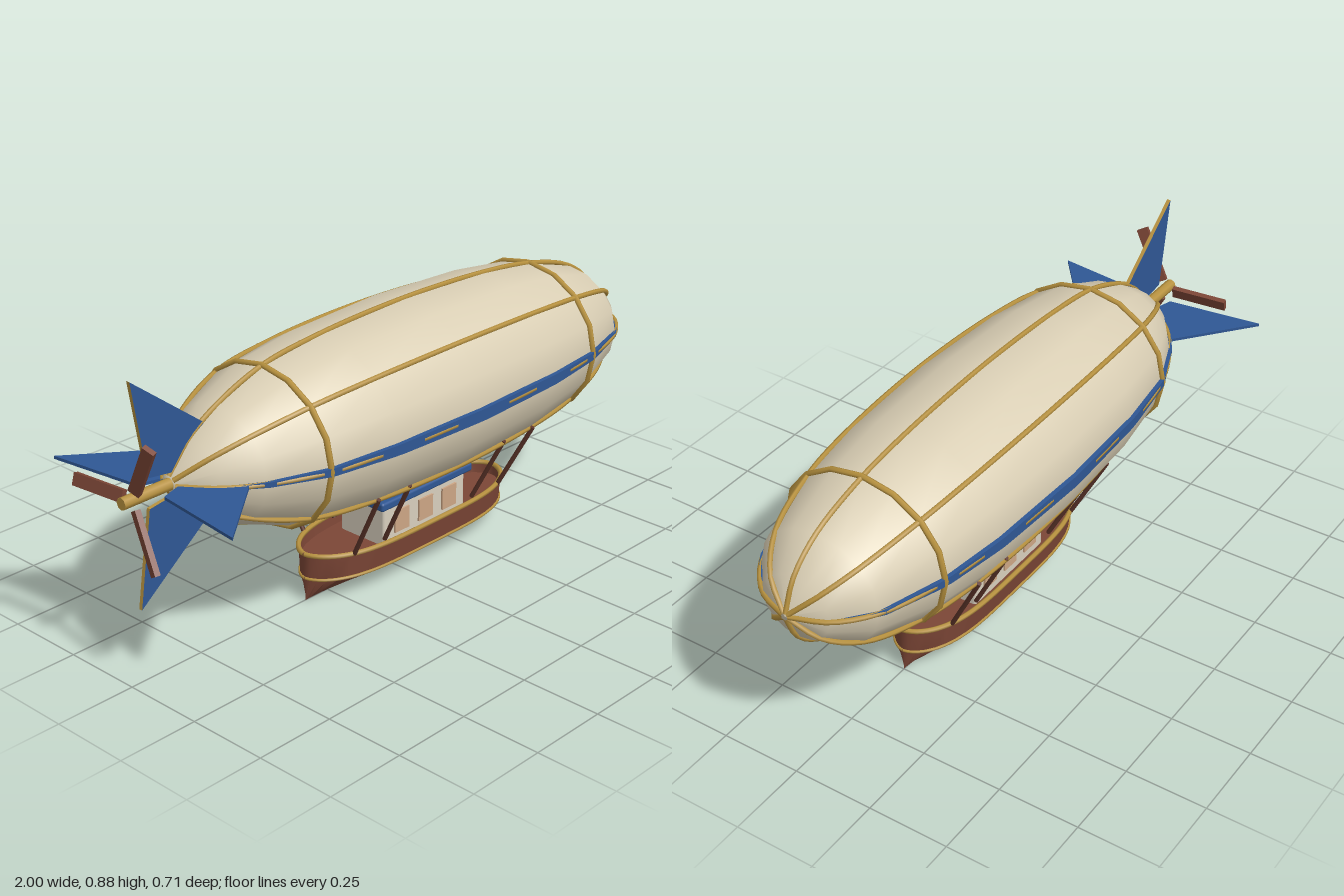
import * as THREE from 'three';
import { toCreasedNormals } from 'three/addons/utils/BufferGeometryUtils.js';
import { RoundedBoxGeometry } from 'three/addons/geometries/RoundedBoxGeometry.js';

const mat = (name, color, side = THREE.FrontSide) => {
  const m = new THREE.MeshStandardMaterial({ color, side });
  m.name = name;
  return m;
};

export function createModel() {
  const model = new THREE.Group();
  model.name = 'airship';
  const canvas = mat('canvas', 0xd9ceb4);
  const gold = mat('gold', 0xb8923f);
  const blue = mat('blue', 0x2f5794);
  const wood = mat('wood', 0x7c4636, THREE.DoubleSide);
  const darkWood = mat('dark wood', 0x5c3429);
  const cream = mat('cabin cream', 0xd8cfbe);
  const tan = mat('window tan', 0xcda685);

  const add = (name, geometry, material, parent = model) => {
    const mesh = new THREE.Mesh(geometry, material);
    mesh.name = name;
    parent.add(mesh);
    return mesh;
  };
  const group = (name) => {
    const g = new THREE.Group();
    g.name = name;
    model.add(g);
    return g;
  };
  const V = (x, y, z) => new THREE.Vector3(x, y, z);
  const tube = (name, pts, r, material, parent, seg = 40) =>
    add(name, new THREE.TubeGeometry(new THREE.CatmullRomCurve3(pts, false, 'centripetal'), seg, r, 6), material, parent);
  const rod = (name, a, b, r, material, parent) => {
    const m = add(name, new THREE.CylinderGeometry(r, r, a.distanceTo(b), 8), material, parent);
    m.position.copy(a).lerp(b, 0.5);
    m.quaternion.setFromUnitVectors(V(0, 1, 0), b.clone().sub(a).normalize());
    return m;
  };

  // Envelope: 16-sided body of revolution along x, slightly flattened in y
  const AXIS = 0.55, FLAT = 0.9;
  const profile = [[-0.835, 0.025], [-0.76, 0.12], [-0.66, 0.19], [-0.49, 0.26], [-0.26, 0.292], [0.08, 0.305],
    [0.43, 0.29], [0.65, 0.26], [0.85, 0.195], [0.95, 0.11], [0.992, 0.008]];
  const radiusAt = (x) => {
    const i = Math.max(1, profile.findIndex((p) => p[0] >= x));
    const [a, b] = [profile[i - 1], profile[i]];
    return a[1] + (b[1] - a[1]) * (x - a[0]) / (b[0] - a[0]);
  };
  const hullPts = [[-0.835, 0], ...profile, [0.996, 0]].map((p) => new THREE.Vector2(Math.max(p[1], 0.0001), p[0]));
  const body = new THREE.LatheGeometry(hullPts, 16);
  body.rotateZ(-Math.PI / 2).scale(1, FLAT, 1).translate(0, AXIS, 0);
  add('envelope', body, canvas);

  // Gold ribs and rings around the envelope
  const frame = group('envelopeFrame');
  for (let i = 0; i < 8; i++) {
    const a = i * Math.PI / 4;
    const pts = profile.map(([x, r]) => V(x, AXIS + Math.sin(a) * r * FLAT, Math.cos(a) * r));
    tube('rib', pts, 0.008, gold, frame, 60);
  }
  for (const x of [-0.49, 0.65]) {
    const ring = new THREE.TorusGeometry(0.264, 0.009, 6, 16);
    ring.rotateY(Math.PI / 2).scale(1, FLAT, 1).translate(x, AXIS, 0);
    add('ring', ring, gold, frame);
  }

  // Blue side stripes that follow the envelope and taper to both ends
  for (const s of [1, -1]) {
    const g = new THREE.BoxGeometry(1.66, 2, 0.02, 40, 1, 1);
    const p = g.attributes.position;
    for (let i = 0; i < p.count; i++) {
      const u = p.getX(i) / 0.83, x = 0.09 + p.getX(i);
      const half = 0.005 + 0.013 * (1 - u * u);
      p.setXYZ(i, x, AXIS + Math.sign(p.getY(i)) * half, s * radiusAt(x) + p.getZ(i));
    }
    g.computeVertexNormals();
    add('sideStripe', g, blue);
  }

  // Tail fins: the upright pair has gold edges
  const fins = group('tailFins');
  for (let i = 0; i < 4; i++) {
    const upright = i % 2 === 0;
    const pts = upright ? [[-0.955, 0.33], [-0.71, 0.14], [-0.8, 0.03], [-0.91, 0.045]]
      : [[-0.938, 0.355], [-0.7, 0.165], [-0.82, 0.03], [-0.9, 0.055]];
    const shape = new THREE.Shape(pts.map((q) => new THREE.Vector2(...q)));
    const t = upright ? 0.012 : 0.009;
    const g = new THREE.ExtrudeGeometry(shape, { depth: t, bevelEnabled: false });
    g.translate(0, 0, -t / 2).rotateX(i * Math.PI / 2).translate(0, AXIS, 0);
    add('fin', g, [blue, upright ? gold : blue], fins);
  }

  // Propeller: shaft and three raked blades
  const propeller = group('propeller');
  rod('shaft', V(-1, AXIS, 0), V(-0.8, AXIS, 0), 0.018, gold, propeller);
  for (let i = 0; i < 3; i++) {
    const g = new THREE.BoxGeometry(0.016, 0.18, 0.036);
    g.rotateY(0.3).translate(0, 0.12, 0).rotateZ(0.1).rotateX(-Math.PI / 2 + i * Math.PI * 2 / 3);
    add('blade', g, wood, propeller).position.set(-0.962, AXIS, 0);
  }

  // Gondola hull: double-ended boat with V bottom
  const gondola = group('gondola');
  const MID = 0.08, HALF = 0.42, N = 24;
  const plan = (u) => Math.pow(Math.max(0, 1 - u ** 4), 0.6);
  const stations = Array.from({ length: N + 1 }, (_, i) => -Math.cos(i / N * Math.PI));
  const section = [[1, 0.128, 0.15], [1, 0.117, 0.066], [0, 0, 0], [-1, 0.117, 0.066], [-1, 0.128, 0.15]];
  const verts = [], index = [];
  stations.forEach((u, i) => {
    for (const [s, w, y] of section) verts.push(MID + u * HALF, y, s * w * plan(u));
    if (i < N) for (let j = 0; j < 4; j++) {
      const a = i * 5 + j, b = a + 5;
      index.push(a, a + 1, b, b, a + 1, b + 1);
    }
  });
  const hull = new THREE.BufferGeometry();
  hull.setAttribute('position', new THREE.Float32BufferAttribute(verts, 3));
  hull.setIndex(index);
  add('hull', toCreasedNormals(hull, 0.6), wood, gondola);

  // Deck inside the hull
  const outline = [...stations.map((u) => [u, 1]), ...stations.slice(1, -1).reverse().map((u) => [u, -1])];
  const deck = new THREE.ShapeGeometry(new THREE.Shape(outline.map(([u, s]) =>
    new THREE.Vector2(MID + u * HALF * 0.99, s * plan(u) * 0.121))));
  deck.rotateX(-Math.PI / 2).translate(0, 0.115, 0);
  add('deck', deck, wood, gondola);

  // Gold rim and chine band on both sides
  for (const s of [1, -1]) {
    for (const [name, w, y, r] of [['rim', 0.128, 0.15, 0.008], ['band', 0.118, 0.072, 0.005]]) {
      tube(name, stations.map((u) => V(MID + u * HALF, y, s * w * plan(u))), r, gold, gondola, 64);
    }
  }

  // Cabin with rounded roof and side windows
  const cabin = group('cabin');
  add('cabinWalls', new RoundedBoxGeometry(0.36, 0.14, 0.176, 1, 0.008), cream, cabin).position.set(MID, 0.175, 0);
  add('roof', new RoundedBoxGeometry(0.4, 0.028, 0.206, 2, 0.008), blue, cabin).position.set(MID, 0.25, 0);
  for (const s of [1, -1]) for (const x of [-0.105, 0, 0.105]) {
    add('window', new THREE.BoxGeometry(0.062, 0.07, 0.008), tan, cabin).position.set(MID + x, 0.18, s * 0.09);
  }

  // Struts from the gondola rim up to the envelope
  const struts = group('struts');
  for (const s of [1, -1]) for (const [top, foot] of [[-0.257, -0.24], [-0.128, -0.112], [0.289, 0.277], [0.425, 0.4]]) {
    rod('strut', V(top, 0.368, s * 0.216), V(foot, 0.15, s * 0.103), 0.007, darkWood, struts);
  }
  return model;
}
